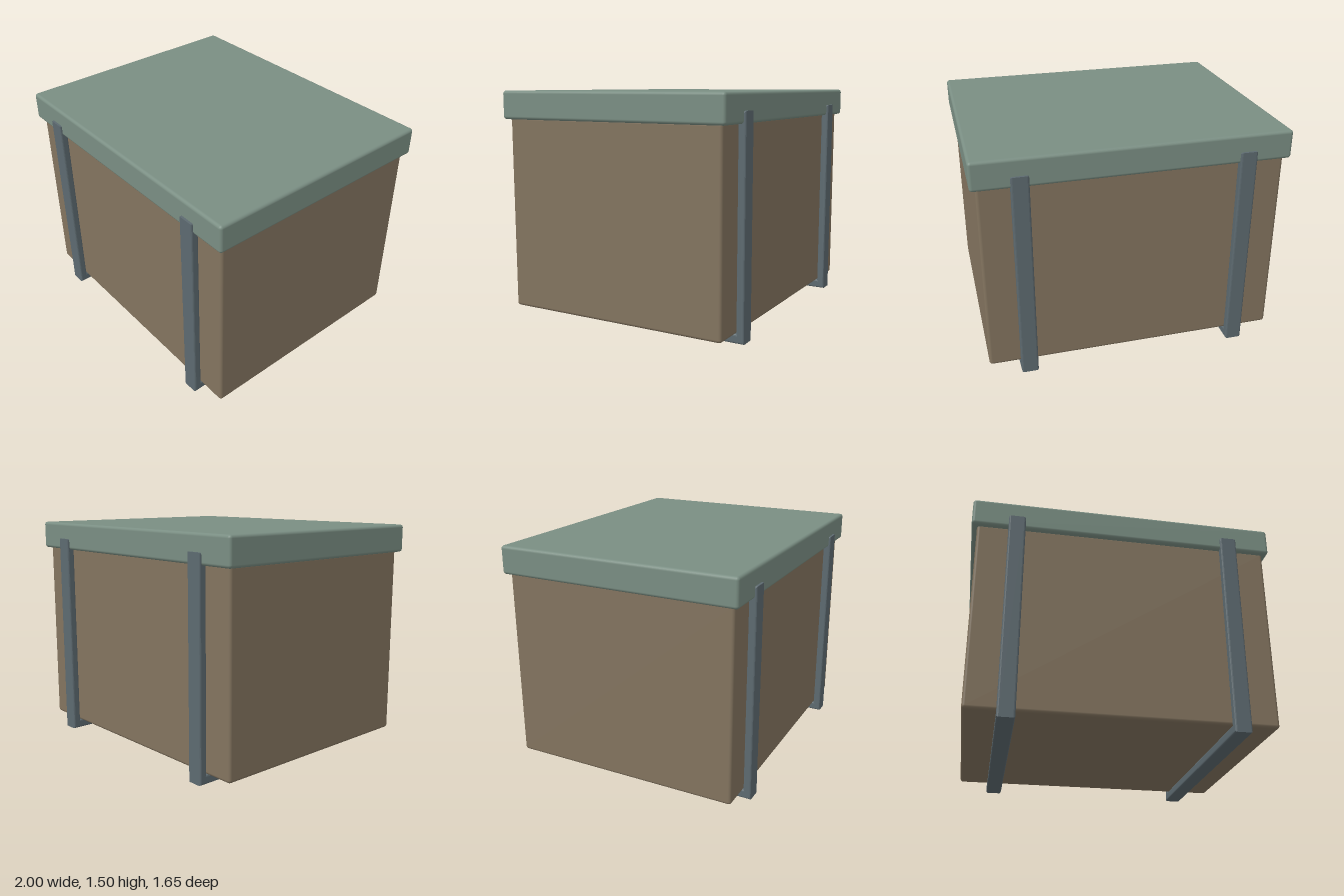
import * as THREE from 'three';
import { RoundedBoxGeometry } from 'three/addons/geometries/RoundedBoxGeometry.js';

const material = (color) => new THREE.MeshStandardMaterial({ color });

// Softly rounded block standing on the given height
function block(name, width, height, depth, bottom, mat) {
  const mesh = new THREE.Mesh(new RoundedBoxGeometry(width, height, depth, 3, 0.02), mat);
  mesh.name = name;
  mesh.position.y = bottom + height / 2;
  return mesh;
}

// U-shaped band running down the front, under the box and up the back
function strapGeometry() {
  const outer = 0.825, inner = 0.772, top = 1.39, floor = 0.06;
  const width = 0.11, bevel = 0.012;
  const profile = new THREE.Shape([
    [-outer, 0], [outer, 0], [outer, top], [inner, top],
    [inner, floor], [-inner, floor], [-inner, top], [-outer, top],
  ].map(([z, y]) => new THREE.Vector2(z, y)));
  const geometry = new THREE.ExtrudeGeometry(profile, {
    depth: width - 2 * bevel,
    bevelThickness: bevel,
    bevelSize: bevel,
    bevelOffset: -bevel,
    bevelSegments: 3,
  });
  geometry.translate(0, 0, -width / 2 + bevel);
  geometry.rotateY(-Math.PI / 2);
  return geometry;
}

export function createModel() {
  const group = new THREE.Group();
  group.name = 'storageBox';

  // Box body and overhanging lid
  group.add(block('body', 1.93, 1.27, 1.55, 0.06, material(0x83745f)));
  group.add(block('lid', 2, 0.185, 1.62, 1.315, material(0x7a8e83)));

  // Pair of straps
  const geometry = strapGeometry();
  const strapMaterial = material(0x5d6a70);
  for (const side of [-1, 1]) {
    const strap = new THREE.Mesh(geometry, strapMaterial);
    strap.name = side > 0 ? 'leftStrap' : 'rightStrap';
    strap.position.x = side * 0.71;
    group.add(strap);
  }
  return group;
}
